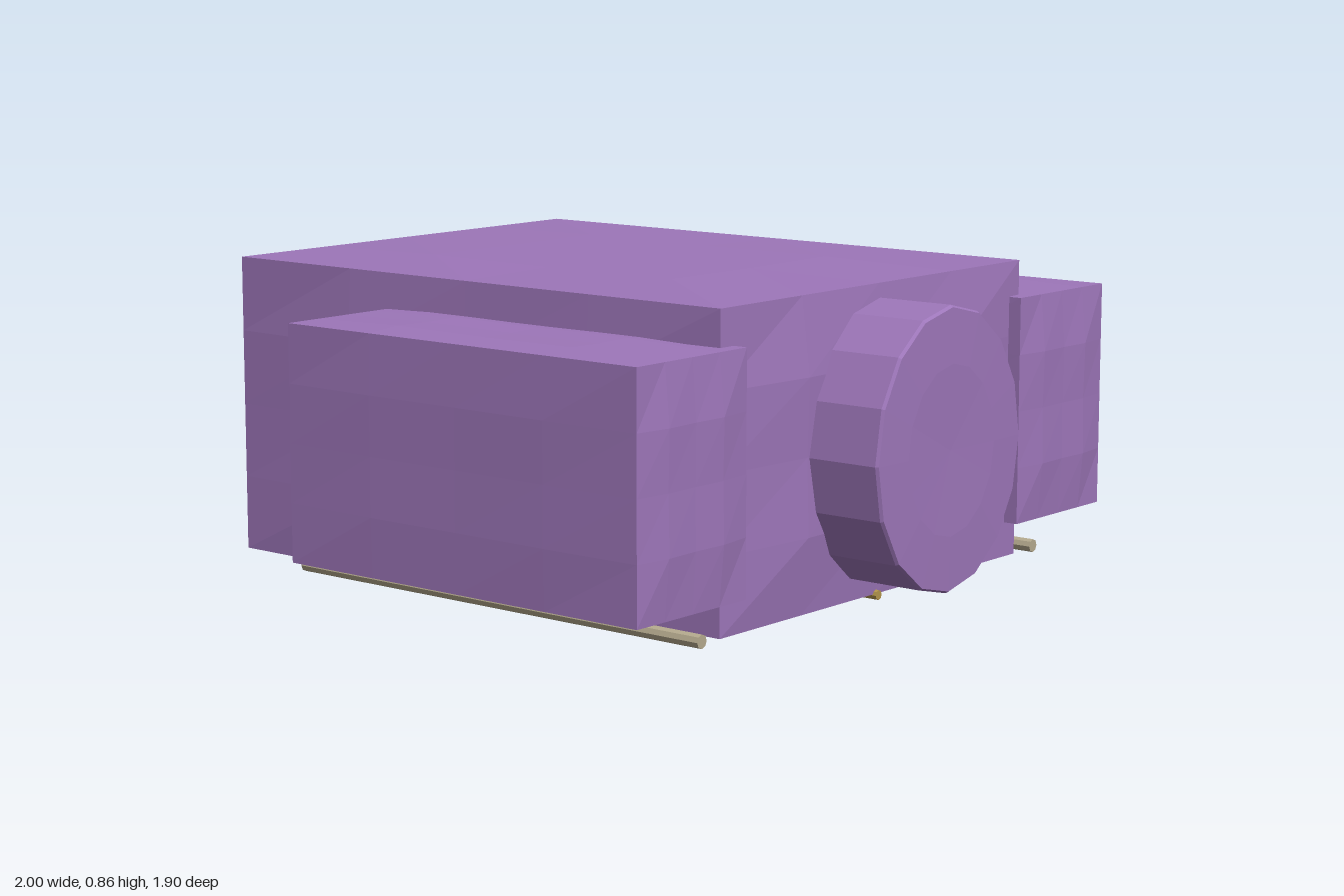
import * as THREE from 'three';

const mat = (name, color) => {
  const m = new THREE.MeshStandardMaterial({ color, flatShading: true });
  m.name = name;
  return m;
};

// Box whose faces swell gently outwards while its edges stay straight
function puffedBox(w, h, d, swell) {
  const g = new THREE.BoxGeometry(w, h, d, 4, 4, 4);
  const p = g.attributes.position, n = g.attributes.normal;
  const half = [w / 2, h / 2, d / 2];
  const lift = [0.75, 1, 0]; // at centre, quarter and edge
  for (let i = 0; i < p.count; i++) {
    const axis = [0, 1, 2].find((a) => Math.abs(n.getComponent(i, a)) > 0.5);
    let amount = swell[axis];
    for (let a = 0; a < 3; a++) {
      if (a !== axis) amount *= lift[Math.round(Math.abs(p.getComponent(i, a)) / half[a] * 2)];
    }
    p.setComponent(i, axis, p.getComponent(i, axis) + amount * n.getComponent(i, axis));
  }
  g.computeVertexNormals();
  return g;
}

export function createModel() {
  const model = new THREE.Group();
  const purple = mat('purple', 0x9d76b9);
  const pink = mat('pink', 0xcb8a9c);
  const steel = mat('pale metal', 0xb5aa8e);
  const gold = mat('gold', 0xb3964c);

  const add = (name, geometry, material, x, y, z) => {
    const mesh = new THREE.Mesh(geometry, material);
    mesh.name = name;
    mesh.position.set(x, y, z);
    model.add(mesh);
    return mesh;
  };
  const rod = (r, length) => new THREE.CylinderGeometry(r, r, length, 8).rotateX(Math.PI / 2);

  // Main body
  add('body', puffedBox(1.275, 0.8, 1.65, [0.012, 0.008, 0.025]), purple, 0, 0.46, -0.105);

  // Oval nose drum with a slightly rounded rim and domed face
  const profile = [[0, -0.13], [1, -0.13], [1, 0.112], [0.985, 0.12], [0.6, 0.124], [0, 0.12]]
    .map(([r, y]) => new THREE.Vector2(r, y));
  const drum = new THREE.LatheGeometry(profile, 16).rotateX(Math.PI / 2).scale(0.31, 0.365, 1);
  add('noseDrum', drum, purple, 0, 0.458, 0.825);

  // Side pods and the rails beneath them
  for (const s of [-1, 1]) {
    const side = s > 0 ? 'left' : 'right';
    add(side + 'Pod', puffedBox(0.405, 0.612, 1.14, [0.005, 0.008, 0.014]), purple, s * 0.79, 0.46, 0.19);
    add(side + 'Rail', rod(0.018, 1.35), steel, s * 0.717, 0.07, 0.055);
  }

  // Keel rod with three beads
  add('keelRod', rod(0.013, 1.35), gold, 0, 0.058, 0.055);
  for (const z of [0.395, 0.06, -0.275]) {
    const bead = add('keelBead', new THREE.SphereGeometry(0.04, 12, 8), gold, 0, 0.055, z);
    bead.scale.set(0.9, 0.9, 1);
  }

  // Tail plate underneath
  add('tailPlate', new THREE.BoxGeometry(0.46, 0.045, 0.37), pink, 0, 0.026, -0.713);

  return model;
}
